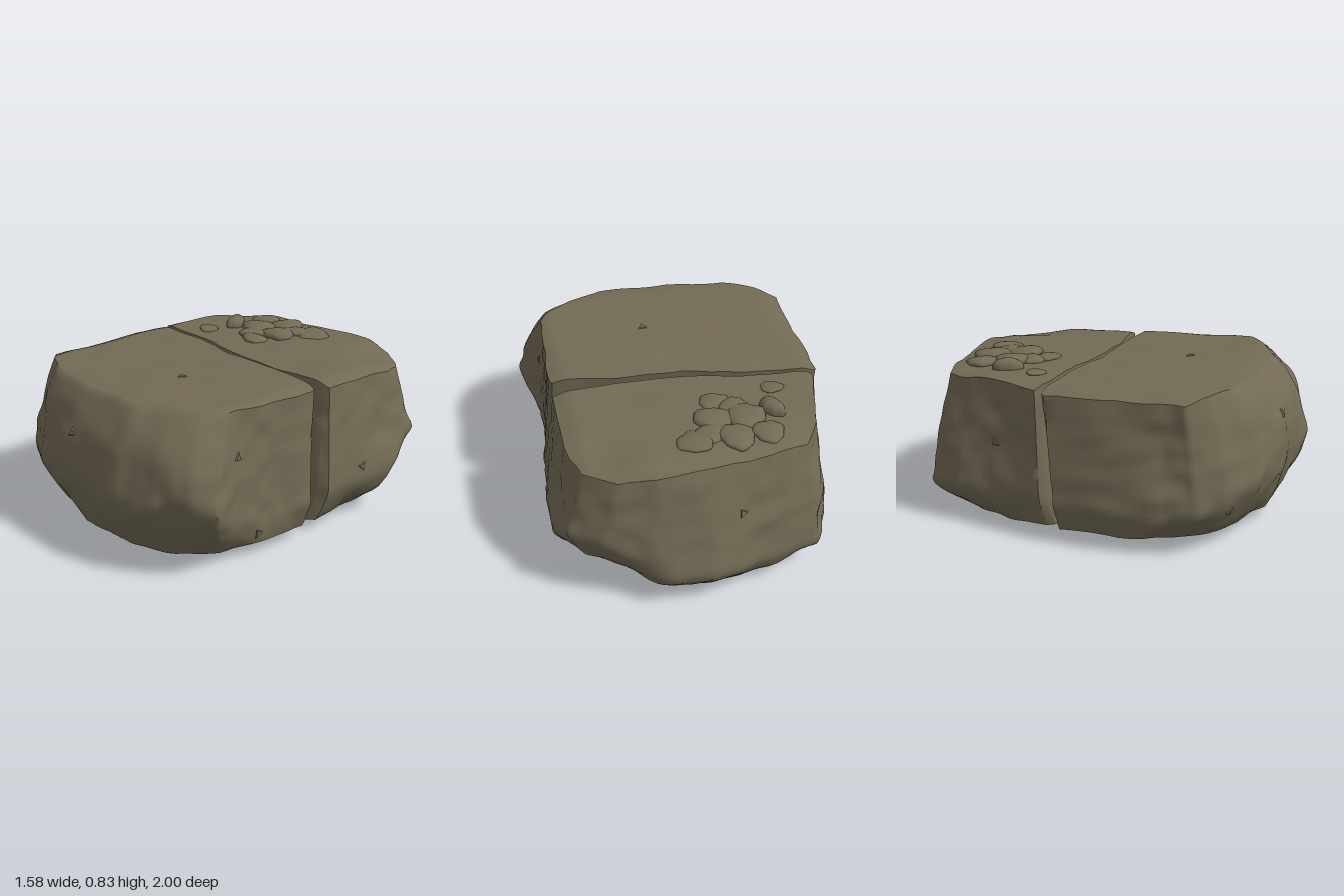
import * as THREE from 'three';
import { toCreasedNormals } from 'three/addons/utils/BufferGeometryUtils.js';

const { lerp, smoothstep } = THREE.MathUtils;

// smooth value noise in the range -1..1
const hash = (x, y, z) => {
  const s = Math.sin(x * 127.1 + y * 311.7 + z * 74.7) * 43758.5453;
  return (s - Math.floor(s)) * 2 - 1;
};
function noise(x, y, z) {
  const [i, j, k] = [x, y, z].map(Math.floor);
  const [u, v, w] = [x - i, y - j, z - k].map((f) => f * f * (3 - 2 * f));
  const edge = (b, c) => lerp(hash(i, b, c), hash(i + 1, b, c), u);
  const face = (c) => lerp(edge(j, c), edge(j + 1, c), v);
  return lerp(face(k), face(k + 1), w);
}

// subdivide a closed outline of [x, z] points
function resample(outline, n) {
  const pts = [];
  outline.forEach((p, i) => {
    const q = outline[(i + 1) % outline.length];
    for (let s = 0; s < n; s++) pts.push([lerp(p[0], q[0], s / n), lerp(p[1], q[1], s / n)]);
  });
  return pts;
}

// worn side rims: 0 in the middle, 1 at the far left and right
const worn = (x) => smoothstep(Math.abs(x), 0.6, 0.72);

// a hewn block: three outlines (base, widest, top) blended up the wall, then capped
function hewnBlock({ base, wide, top, center, baseY, topY, widest, round }) {
  const [B, W, T] = [base, wide, top].map((o) => resample(o, 8));
  const n = B.length, levels = 24;
  const rows = [0, 0.2, 0.4, 0.6, 0.75, 0.87, 0.95].map((r) => [r, 0]);
  for (let i = 0; i <= levels; i++) rows.push([1, i / levels]);
  [0.975, 0.94, 0.9, 0.85, 0.79, 0.7, 0.6, 0.45, 0.3, 0.15, 0].forEach((r) => rows.push([r, 1]));

  const pos = [], idx = [];
  for (const [r, t] of rows) {
    for (let j = 0; j < n; j++) {
      const [wx, wz] = W[j];
      const tw = widest(wx, wz);
      const upper = t > tw;
      const s = upper ? (t - tw) / (1 - tw) : 1 - t / tw;
      const inset = Math.pow(s, upper ? round(wz) : 1.5);
      const goal = upper ? T[j] : B[j];
      let x = lerp(wx, goal[0], inset), z = lerp(wz, goal[1], inset);
      // rough hewing, calmer towards the split and the rims
      const rough = smoothstep(Math.abs(z + 0.07 - 0.1 * x), 0.03, 0.3) * (1 - 0.6 * t ** 6);
      const d = 0.024 * noise(x * 4, t * 3.2, z * 4) + 0.01 * noise(x * 11, t * 9, z * 11);
      const chip = 0.006 * noise(x * 14 + 5, t * 10, z * 14);
      const dx = x - center[0], dz = z - center[1], len = Math.hypot(dx, dz);
      const k = r * (1 + (rough * (d - 0.003) + chip) / len);
      x = center[0] + dx * k;
      z = center[1] + dz * k;
      const bump = 0.006 * noise(x * 6, t * 4, z * 6) * t;
      pos.push(x, lerp(baseY(x, z), topY(x, z), t) + bump, z);
    }
  }
  for (let i = 0; i < rows.length - 1; i++) {
    for (let j = 0; j < n; j++) {
      const a = i * n + j, b = i * n + ((j + 1) % n), c = a + n, d = b + n;
      if (rows[i][0] > 0) idx.push(a, c, b);
      else idx.push(a, c, d);
      if (rows[i][0] > 0 && rows[i + 1][0] > 0) idx.push(b, c, d);
    }
  }
  const g = new THREE.BufferGeometry();
  g.setAttribute('position', new THREE.Float32BufferAttribute(pos, 3));
  g.setIndex(idx);
  return toCreasedNormals(g, 0.95);
}

// a flat lump with an uneven rim
function lumpGeometry(rx, ry, rz, seed) {
  const g = new THREE.SphereGeometry(1, 28, 12);
  const p = g.attributes.position;
  for (let i = 0; i < p.count; i++) {
    const x = p.getX(i), y = p.getY(i), z = p.getZ(i);
    const a = Math.atan2(z, x);
    const k = 1 + 0.04 * Math.sin(a * 7 + seed) + 0.08 * Math.sin(a * 3 + seed * 2);
    p.setXYZ(i, x * rx * k, Math.sign(y) * Math.pow(Math.abs(y), 0.8) * ry, z * rz * k);
  }
  g.computeVertexNormals();
  return g;
}

export function createModel() {
  const model = new THREE.Group();
  model.name = 'splitStone';
  const stone = new THREE.MeshStandardMaterial({ color: 0x726a54 });
  stone.name = 'stone';
  const add = (geometry, name) => {
    const mesh = new THREE.Mesh(geometry, stone);
    mesh.name = name;
    model.add(mesh);
    return mesh;
  };

  // front half
  const front = add(hewnBlock({
    base: [[0.66, 0.07], [0.7, 0.09], [0.69, 0.28], [0.68, 0.42], [0.64, 0.6], [0.55, 0.7], [0.43, 0.79], [0.26, 0.86],
      [-0.1, 0.86], [-0.36, 0.76], [-0.54, 0.64], [-0.66, 0.5], [-0.73, 0.36], [-0.71, -0.07], [-0.64, -0.09],
      [-0.3, -0.05], [0, 0.01], [0.35, 0.03]],
    wide: [[0.7, 0.05], [0.75, 0.08], [0.71, 0.34], [0.725, 0.56], [0.765, 0.75], [0.69, 0.85], [0.53, 0.94], [0.3, 0.99],
      [-0.1, 0.96], [-0.42, 0.88], [-0.65, 0.76], [-0.75, 0.64], [-0.79, 0.45], [-0.75, -0.09], [-0.66, -0.11],
      [-0.3, -0.07], [0, -0.01], [0.35, 0.01]],
    top: [[0.68, 0], [0.69, 0.03], [0.68, 0.3], [0.67, 0.45], [0.66, 0.57], [0.58, 0.65], [0.47, 0.71], [0.28, 0.8],
      [-0.1, 0.8], [-0.42, 0.74], [-0.6, 0.65], [-0.7, 0.56], [-0.7, 0.42], [-0.7, -0.15], [-0.68, -0.17],
      [-0.3, -0.14], [0, -0.065], [0.35, -0.05]],
    center: [0, 0.4],
    baseY: (x, z) => 0.05 + 0.02 * z + 0.015 * worn(x),
    topY: (x, z) => 0.79 + 0.02 * x + 0.01 * z - 0.03 * worn(x) - 0.015 * smoothstep(z, 0.7, 0.82),
    widest: (x, z) => 0.2 + smoothstep(z, 0.6, 0.9) * 0.2 + 0.12 * smoothstep(x, 0.4, 0.65) * smoothstep(z, 0.5, 0.75),
    round: (z) => 1 + 1.6 * smoothstep(z, 0.6, 0.9),
  }), 'frontBlock');

  // back half
  const back = add(hewnBlock({
    base: [[0.64, 0.02], [0.35, 0.01], [0, -0.02], [-0.3, -0.08], [-0.6, -0.13], [-0.63, -0.17], [-0.57, -0.4],
      [-0.49, -0.55], [-0.4, -0.67], [-0.23, -0.78], [0.05, -0.83], [0.28, -0.77], [0.43, -0.67], [0.55, -0.56],
      [0.65, -0.4], [0.7, -0.01]],
    wide: [[0.7, -0.01], [0.35, -0.01], [0, -0.04], [-0.3, -0.1], [-0.66, -0.16], [-0.69, -0.19], [-0.64, -0.46],
      [-0.615, -0.68], [-0.53, -0.86], [-0.27, -0.92], [0.05, -0.99], [0.35, -0.94], [0.58, -0.85], [0.73, -0.73],
      [0.785, -0.5], [0.76, -0.04]],
    top: [[0.66, -0.095], [0.35, -0.08], [0, -0.1], [-0.3, -0.165], [-0.64, -0.195], [-0.67, -0.21], [-0.6, -0.42],
      [-0.56, -0.6], [-0.46, -0.76], [-0.27, -0.8], [0.05, -0.83], [0.32, -0.85], [0.5, -0.81], [0.65, -0.68],
      [0.7, -0.5], [0.69, -0.1]],
    center: [0.05, -0.48],
    baseY: (x, z) => 0.05 + 0.055 * z + 0.015 * worn(x),
    topY: (x, z) => 0.782 + 0.008 * x - 0.03 * worn(x) - 0.02 * smoothstep(-z, 0.72, 0.84)
      - 0.06 * (1 - smoothstep(Math.hypot(x - 0.65, z + 0.75), 0, 0.38))
      - 0.03 * (1 - smoothstep(Math.hypot(x + 0.55, z + 0.75), 0, 0.25)),
    widest: (x, z) => 0.25 + 0.3 * smoothstep(x, 0.3, 0.6) * smoothstep(-z, 0.45, 0.75),
    round: () => 1.1,
  }), 'backBlock');

  // crust of flat lumps: x, z, radius x, radius z, height
  const crust = new THREE.Group();
  crust.name = 'crustPatch';
  [[-0.13, -0.65, 0.09, 0.1, 0.03], [0.08, -0.64, 0.09, 0.09, 0.022], [-0.05, -0.5, 0.1, 0.09, 0.035],
    [-0.21, -0.51, 0.1, 0.1, 0.035], [-0.36, -0.47, 0.05, 0.08, 0.052], [-0.09, -0.35, 0.08, 0.06, 0.022],
    [-0.29, -0.65, 0.08, 0.08, 0.025], [-0.41, -0.3, 0.06, 0.05, 0.012], [-0.17, -0.41, 0.08, 0.06, 0.026],
    [-0.01, -0.6, 0.08, 0.07, 0.028]].forEach(([x, z, rx, rz, h], i) => {
    const lump = new THREE.Mesh(lumpGeometry(rx, h, rz, i * 1.7), stone);
    lump.name = 'crustLump';
    lump.position.set(x, 0.782, z);
    lump.rotation.set(0.06 * Math.sin(i * 2), 0.5 * Math.sin(i * 5), 0.06 * Math.cos(i * 3));
    crust.add(lump);
  });
  model.add(crust);

  // small three-sided flakes set onto the surfaces: block, ray origin, ray direction
  const ray = new THREE.Raycaster();
  const up = new THREE.Vector3(0, 1, 0);
  [[front, [0.12, 2, 0.38], [0, -1, 0]], [front, [-0.09, 0.58, 2], [0, 0, -1]], [front, [2, 0.57, 0.53], [-1, 0, 0]],
    [back, [2, 0.31, -0.28], [-1, 0, 0]], [front, [2, 0.13, 0.4], [-1, 0, 0]], [front, [-0.57, 0.2, 2], [0, 0, -1]],
    [back, [-2, 0.45, -0.45], [1, 0, 0]], [back, [-0.1, 0.5, -2], [0, 0, 1]]].forEach(([block, from, dir], i) => {
    ray.set(new THREE.Vector3(...from), new THREE.Vector3(...dir));
    const hit = ray.intersectObject(block)[0];
    if (!hit) return;
    const flake = add(new THREE.CylinderGeometry(0.022, 0.034, 0.012, 3).toNonIndexed(), 'flake');
    flake.geometry.computeVertexNormals();
    flake.geometry.rotateY(i * 1.3);
    flake.quaternion.setFromUnitVectors(up, hit.face.normal);
    flake.position.copy(hit.point);
  });

  return model;
}
